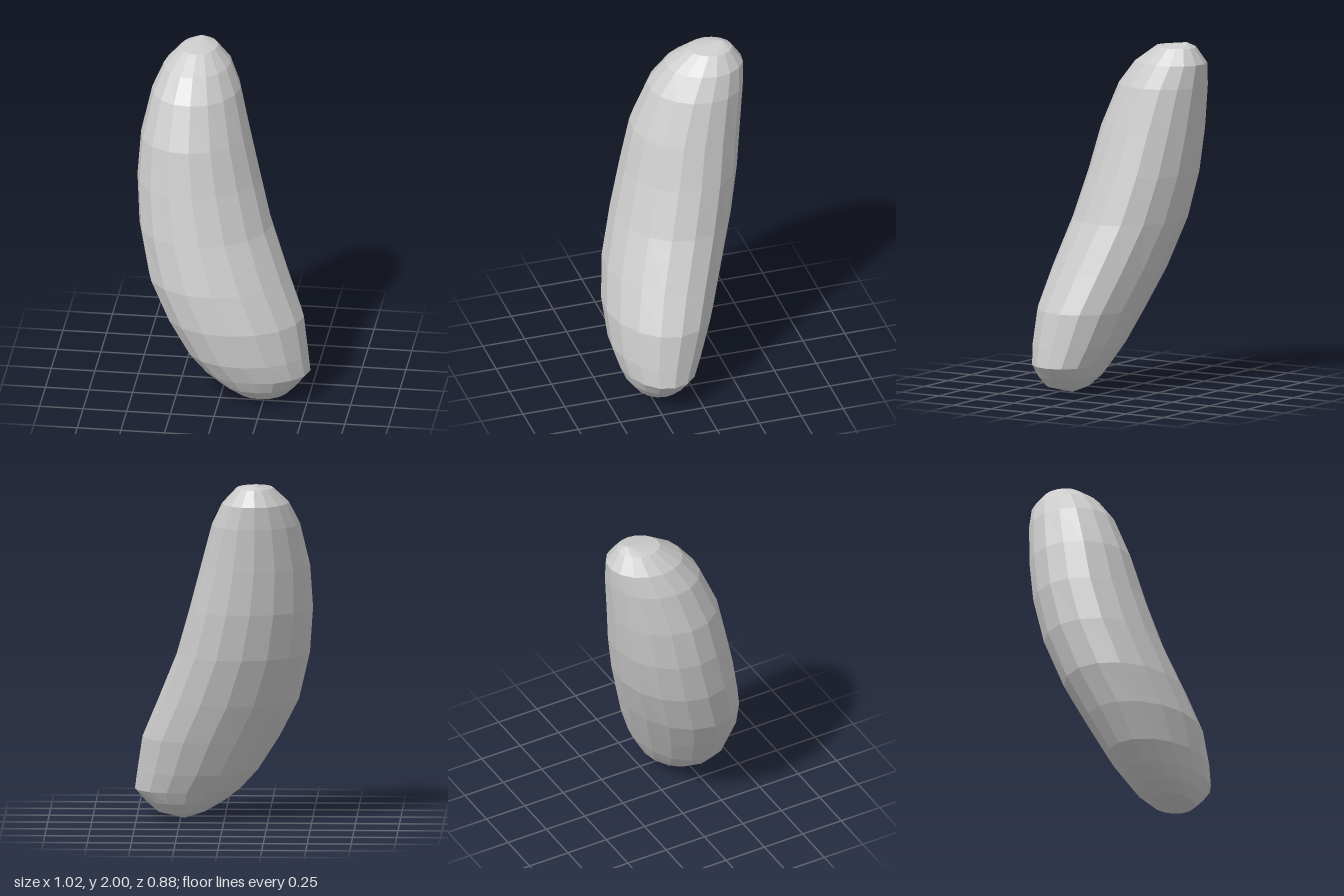
import * as THREE from 'three';

// Cross-sections from top to bottom: [y, xMin, xMax, zMin, zMax]
const SECTIONS = [
  [2.0, -0.18, -0.18, -0.33, -0.33],
  [1.97, -0.29, -0.08, -0.38, -0.13],
  [1.88, -0.38, 0.0, -0.44, 0.0],
  [1.75, -0.44, 0.06, -0.435, 0.1],
  [1.5, -0.495, 0.125, -0.41, 0.205],
  [1.25, -0.51, 0.19, -0.38, 0.265],
  [0.98, -0.49, 0.265, -0.325, 0.335],
  [0.7, -0.425, 0.375, -0.235, 0.41],
  [0.48, -0.315, 0.465, -0.155, 0.445],
  [0.28, -0.19, 0.495, -0.075, 0.435],
  [0.17, -0.09, 0.51, -0.02, 0.405],
  [0.1, 0.0, 0.45, 0.02, 0.375],
  [0.04, 0.1, 0.385, 0.08, 0.325],
  [0.0, 0.23, 0.23, 0.18, 0.18],
];
const SIDES = 16;
const SKEW = -0.08; // leans each oval slightly off the axes

// Skin the ovals into one closed, faceted surface
function skin(sections) {
  const positions = [];
  const index = [];
  for (const [y, x0, x1, z0, z1] of sections) {
    for (let j = 0; j < SIDES; j++) {
      const t = ((j + 0.0) / SIDES) * Math.PI * 2;
      positions.push(
        (x0 + x1) / 2 + ((x1 - x0) / 2) * Math.cos(t),
        y,
        (z0 + z1) / 2 + ((z1 - z0) / 2) * Math.sin(t + SKEW)
      );
    }
  }
  const last = sections.length - 2;
  for (let i = 0; i <= last; i++) {
    for (let j = 0; j < SIDES; j++) {
      const k = (j + 1) % SIDES;
      const a = i * SIDES + j, b = i * SIDES + k;
      const c = a + SIDES, d = b + SIDES;
      // the first and last sections are points, so they close as fans
      if (i > 0) index.push(a, b, c);
      if (i < last) index.push(b, d, c);
      else continue;
    }
  }
  const indexed = new THREE.BufferGeometry();
  indexed.setAttribute('position', new THREE.Float32BufferAttribute(positions, 3));
  indexed.setIndex(index);
  const geometry = indexed.toNonIndexed();
  geometry.computeVertexNormals();
  return geometry;
}

export function createModel() {
  const group = new THREE.Group();
  group.name = 'bean';
  const material = new THREE.MeshStandardMaterial({ color: 0xcccccc, flatShading: true });
  const body = new THREE.Mesh(skin(SECTIONS), material);
  body.name = 'beanBody';
  group.add(body);
  return group;
}
